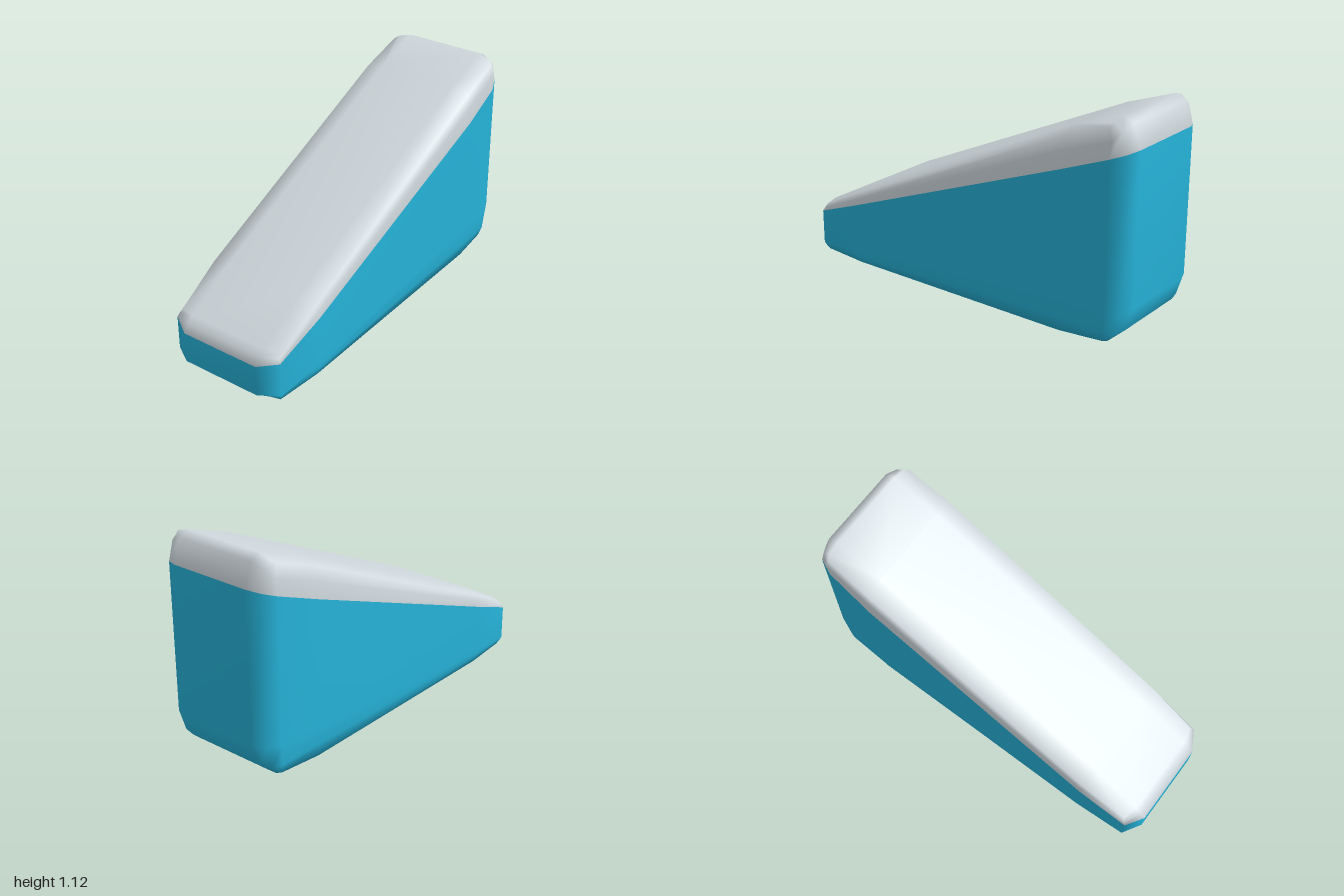
import * as THREE from 'three';
import { mergeVertices } from 'three/addons/utils/BufferGeometryUtils.js';

// Sloping line where the base meets the lid
const seam = (z) => 0.605 - 0.38 * z;

// Right half of each horizontal ring, front to back, as [x, y, z], bottom to top
const f = [0.22, 0.005, 0.66], b = [0.22, 0.005, -0.65];
const tf = [0.22, 0.45, 0.65], tb = [0.22, 1.04, -0.65];
const plan = [[0.22, 1], [0.32, 0.94], [0.338, 0.66], [0.338, -0.65], [0.32, -0.9], [0.29, -0.97], [0.22, -1]];
const lowY = [0.06, 0.063, 0.085, 0.2, 0.2, 0.2, 0.21];
const halfRings = [
  // underside and its rounded edge
  [f, f, f, b, b, b, b],
  [[0.22, 0.02, 0.94], [0.3, 0.022, 0.92], [0.32, 0.02, 0.66], [0.32, 0.03, -0.65], [0.3, 0.04, -0.88], [0.28, 0.037, -0.9], [0.22, 0.035, -0.9]],
  [[0.22, 0.04, 0.97], [0.311, 0.041, 0.93], [0.329, 0.052, 0.66], [0.333, 0.1, -0.65], [0.315, 0.09, -0.89], [0.285, 0.08, -0.935], [0.22, 0.08, -0.95]],
  // upright walls
  plan.map(([x, z], i) => [x, lowY[i], z]),
  plan.map(([x, z]) => [x, seam(z), z]),
  // rounded lid edge and sloping top
  [[0.22, 0.265, 0.97], [0.311, 0.27, 0.93], [0.33, 0.387, 0.66], [0.331, 0.94, -0.65], [0.318, 1.03, -0.91], [0.285, 1.075, -0.945], [0.22, 1.105, -0.96]],
  [[0.22, 0.295, 0.94], [0.3, 0.29, 0.92], [0.32, 0.42, 0.66], [0.32, 1.01, -0.65], [0.31, 1.095, -0.89], [0.285, 1.11, -0.905], [0.22, 1.13, -0.905]],
  [tf, tf, tf, tb, tb, tb, tb],
];

function wedgeGeometry() {
  // Mirror each half ring into a closed loop
  const rings = halfRings.map((h) => [...h, ...[...h].reverse().map(([x, y, z]) => [-x, y, z])]);
  const n = rings[0].length, last = (rings.length - 1) * n;
  const index = [];
  const quad = (p, q, r, s) => index.push(p, q, r, p, r, s);
  let seamStart = 0;
  quad(11, 10, 3, 2); // underside
  for (let k = 0; k < rings.length - 1; k++) {
    if (k === 4) seamStart = index.length;
    for (let j = 0; j < n; j++) {
      const m = (j + 1) % n;
      quad(k * n + j, k * n + m, (k + 1) * n + m, (k + 1) * n + j);
    }
  }
  quad(last + 2, last + 3, last + 10, last + 11); // sloping top

  let g = new THREE.BufferGeometry();
  g.setAttribute('position', new THREE.Float32BufferAttribute(rings.flat(2), 3));
  g.setIndex(index);
  g = mergeVertices(g);
  g.computeVertexNormals();
  g.clearGroups();
  g.addGroup(0, seamStart, 0);
  g.addGroup(seamStart, index.length - seamStart, 1);
  return g;
}

export function createModel() {
  const blue = new THREE.MeshStandardMaterial({ color: 0x26b3d9 });
  blue.name = 'blue base';
  const grey = new THREE.MeshStandardMaterial({ color: 0xd0d9de });
  grey.name = 'light grey top';

  const wedge = new THREE.Mesh(wedgeGeometry(), [blue, grey]);
  wedge.name = 'roundedWedge';
  const model = new THREE.Group();
  model.name = 'wedgeBlock';
  wedge.position.y = -0.005;
  model.add(wedge);
  return model;
}
